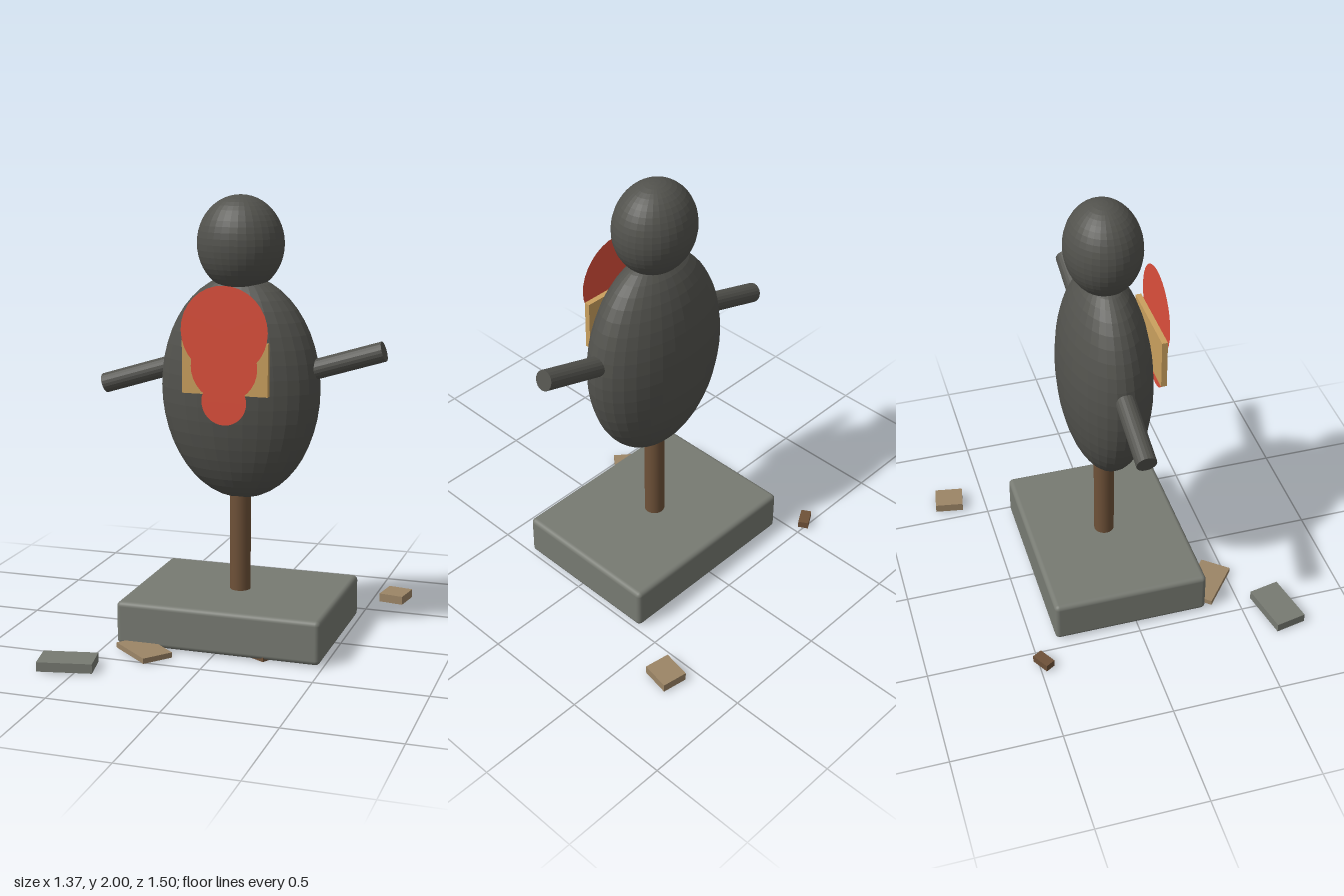
import * as THREE from 'three';
import { RoundedBoxGeometry } from 'three/addons/geometries/RoundedBoxGeometry.js';

const CX = 0.016, CZ = -0.027; // axis of the figure

export function createModel() {
  const model = new THREE.Group();
  model.name = 'targetDummy';

  const mat = (name, color, flatShading = false) => {
    const m = new THREE.MeshStandardMaterial({ color, flatShading });
    m.name = name;
    return m;
  };
  const charcoal = mat('charcoal', 0x52524d, true);
  const stone = mat('stone', 0x777a72);
  const wood = mat('wood', 0x6e5138);
  const tan = mat('tan', 0x9c8566);
  const ochre = mat('ochre', 0xcaa05e);
  const red = mat('red', 0xdc4f3b);
  red.side = THREE.DoubleSide;

  const add = (name, geometry, material, x, y, z) => {
    const mesh = new THREE.Mesh(geometry, material);
    mesh.name = name;
    mesh.position.set(x, y, z);
    model.add(mesh);
    return mesh;
  };

  // Plinth and post
  add('base', new RoundedBoxGeometry(0.94, 0.199, 0.724, 3, 0.022), stone, CX, 0.1065, CZ);
  add('post', new THREE.CylinderGeometry(0.047, 0.047, 0.6, 20), wood, CX, 0.45, CZ);

  // Body and head: flattened spheres
  add('body', new THREE.SphereGeometry(1, 32, 24), charcoal, CX, 1.145, CZ).scale.set(0.366, 0.507, 0.203);
  add('head', new THREE.SphereGeometry(1, 32, 24), charcoal, CX, 1.787, CZ).scale.set(0.196, 0.213, 0.17);

  // Arms slope the same way: one down, one up
  const slope = 0.3, armLength = 0.46;
  for (const [name, side, tipX, tipY] of [['rightArm', -1, -0.635, 1.128], ['leftArm', 1, 0.667, 1.338]]) {
    const arm = add(name, new THREE.CylinderGeometry(0.045, 0.045, armLength, 20), charcoal,
      tipX - side * Math.cos(slope) * armLength / 2,
      tipY - side * Math.sin(slope) * armLength / 2, CZ);
    arm.rotation.z = slope - Math.PI / 2;
  }

  // Chest board and overlapping discs
  add('chestBoard', new THREE.BoxGeometry(0.39, 0.232, 0.026), ochre, CX, 1.266, 0.192);
  [[1.43, 0.197], [1.273, 0.151], [1.12, 0.102]].forEach(([y, r], i) => {
    add('chestDisc', new THREE.CircleGeometry(r, 32), red, CX, y, 0.213 + i * 0.002);
  });

  // Rubble: material, x, z, width, height, depth, turn
  const rubble = [
    [stone, -0.552, 0.655, 0.243, 0.042, 0.145, 0.2],
    [tan, -0.299, 0.392, 0.243, 0.024, 0.145, -0.695],
    [tan, 0.61, -0.675, 0.118, 0.04, 0.134, -0.17],
    [wood, -0.576, -0.479, 0.088, 0.034, 0.049, 0.525],
    [wood, 0.204, 0.262, 0.12, 0.02, 0.1, -0.5],
  ];
  for (const [material, x, z, w, h, d, turn] of rubble) {
    const y0 = h < 0.022 ? 0 : 0.005;
    add('rubble', new THREE.BoxGeometry(w, h, d), material, x, y0 + h / 2, z).rotation.y = turn;
  }

  return model;
}
